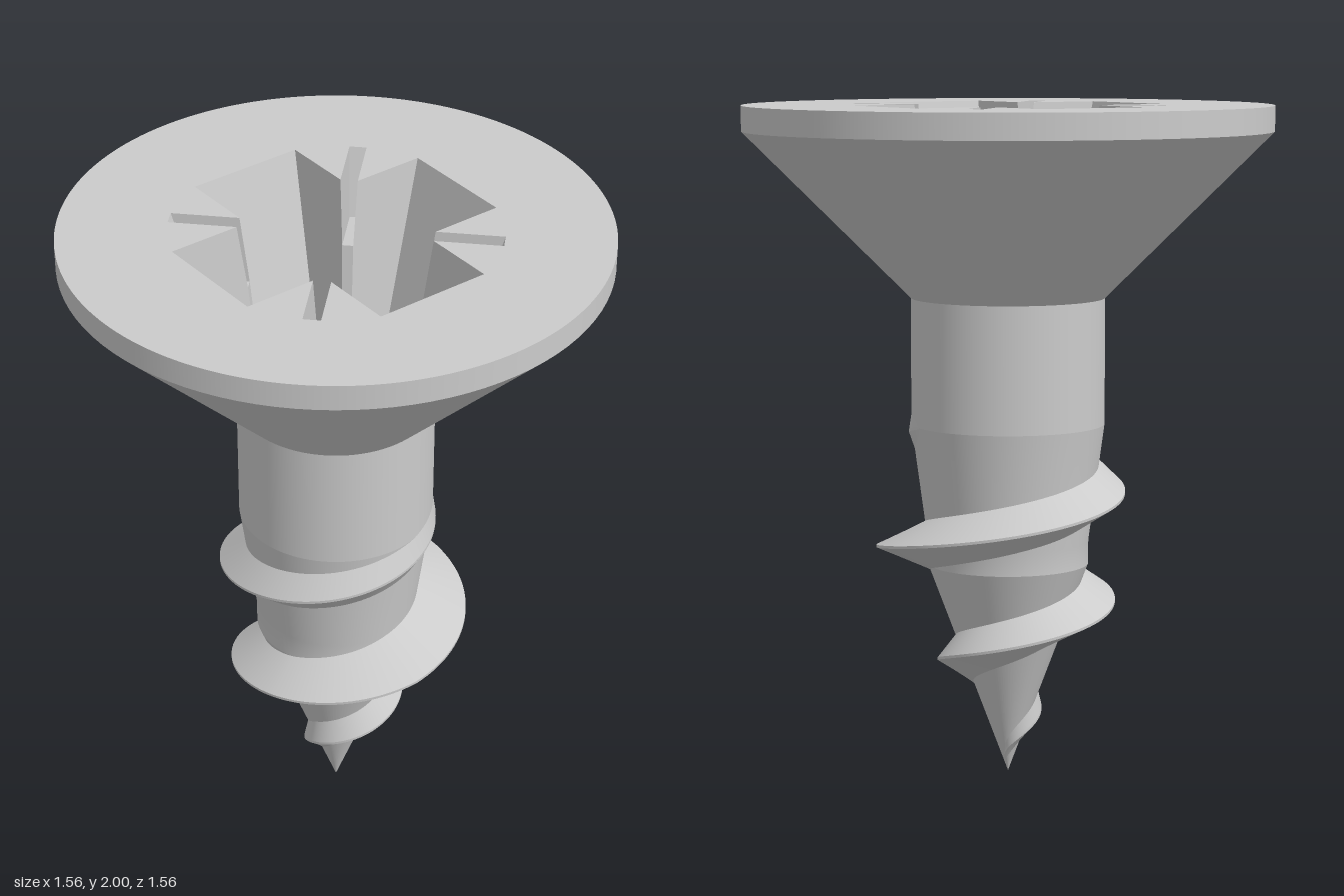
import * as THREE from 'three';

const grey = new THREE.MeshStandardMaterial({ color: 0xcccccc });
const greyDouble = new THREE.MeshStandardMaterial({ color: 0xcccccc, side: THREE.DoubleSide });

function addMesh(group, name, geometry, material = grey) {
  const mesh = new THREE.Mesh(geometry, material);
  mesh.name = name;
  group.add(mesh);
}

// One smooth band of revolution, listed from bottom to top
function band(...points) {
  return new THREE.LatheGeometry(points.map(([r, y]) => new THREE.Vector2(r, y)), 96);
}

// Surface through equal-length rows of points
function loft(rows, flat) {
  const cols = rows[0].length, index = [];
  for (let i = 0; i < rows.length - 1; i++) {
    for (let j = 0; j < cols - 1; j++) {
      const a = i * cols + j, b = a + cols;
      index.push(a, b, a + 1, b, b + 1, a + 1);
    }
  }
  let geometry = new THREE.BufferGeometry();
  geometry.setAttribute('position', new THREE.Float32BufferAttribute(rows.flat(2), 3));
  geometry.setIndex(index);
  if (flat) geometry = geometry.toNonIndexed();
  geometry.computeVertexNormals();
  return geometry;
}

// Upward-facing flat shape at height y
function flatFace(shape, y) {
  return new THREE.ShapeGeometry(shape, 96).rotateX(-Math.PI / 2).translate(0, y, 0);
}

const toShape = points => new THREE.Shape(points.map(([x, y]) => new THREE.Vector2(x, y)));

// Recess heights: rim, slit floor, arm floor
const TOP = 2, SLIT = 1.8, FLOOR = 1.5;

// Diagonal slit of half width s, reaching out to radius r, from the inner corner of the cross
function slitPoints(w, s, r) {
  const d = w * Math.SQRT2 + s;
  return [[d, -s], [r, -s], [r, s], [d, s]].map(([along, across]) =>
    [(along - across) * Math.SQRT1_2, (along + across) * Math.SQRT1_2]);
}

function rotate([x, y], q) {
  const c = [1, 0, -1, 0][q], s = [0, 1, 0, -1][q];
  return [x * c - y * s, x * s + y * c];
}

// Cross outline at height y; the slits are left out below their floor
function recessOutline(y, s, r) {
  const t = (TOP - y) / (TOP - FLOOR);
  const w = 0.177 - 0.032 * t, l = 0.43 - 0.13 * t;
  const slit = slitPoints(w, s, r ?? 1);
  const corner = r ? slit : [slit[0], slit[3]];
  const quarter = [[l, -w], [l, w], ...corner];
  return [0, 1, 2, 3].flatMap(q => quarter.map(p => rotate(p, q)));
}

function ring(outline, y) {
  return [...outline, outline[0]].map(([x, z]) => [x, y, z]);
}

function buildRecess(group) {
  const rim = recessOutline(TOP, 0.025, 0.47);
  const mid = recessOutline(SLIT, 0.016, 0.41);
  const face = new THREE.Shape().absarc(0, 0, 0.78, 0, Math.PI * 2);
  face.holes.push(new THREE.Path(rim.map(([x, y]) => new THREE.Vector2(x, y))));
  addMesh(group, 'headFace', flatFace(face, TOP));

  addMesh(group, 'upperRecessWalls', loft([ring(rim, TOP), ring(mid, SLIT)], true), greyDouble);
  addMesh(group, 'lowerRecessWalls', loft([
    ring(recessOutline(SLIT, 0.016), SLIT),
    ring(recessOutline(FLOOR, 0.014), FLOOR),
  ], true), greyDouble);

  // Floors of the four arms and four slits
  const a = Math.asin(0.145 / 0.255);
  const arm = new THREE.Shape().moveTo(0.3, -0.145).lineTo(0.3, 0.145);
  arm.lineTo(0.255 * Math.cos(a), 0.145).absarc(0, 0, 0.255, a, -a, true);
  const slit = toShape(slitPoints(0.177 - 0.032 * 0.4, 0.016, 0.41));
  for (let q = 0; q < 4; q++) {
    addMesh(group, 'armFloor', flatFace(arm, FLOOR).rotateY(q * Math.PI / 2));
    addMesh(group, 'slitFloor', flatFace(slit, SLIT).rotateY(q * Math.PI / 2));
  }
  addMesh(group, 'recessCone', band([0.255, FLOOR], [0, FLOOR - 0.1]));
}

// Radius of the core at height y
function coreRadius(y) {
  if (y < 0.64) return Math.max(0, 0.24 * y / 0.64);
  if (y < 0.71) return 0.24;
  return Math.min(0.287, 0.24 + 0.047 * (y - 0.71) / 0.35);
}

// Helical thread with a V section; n counts quarter turns from the tip
function buildThread(group) {
  const lower = [], upper = [];
  const start = -0.8, end = 11.2, steps = 360;
  for (let i = 0; i <= steps; i++) {
    const n = start + (end - start) * i / steps;
    const t = n * Math.PI / 2, y = 0.115 + 0.0868 * n;
    const grow = 0.06 + 0.0562 * n;
    const fade = n < 7 ? 0.397 - 0.005 * Math.max(0, n - 6) : 0.392 - 0.027 * (n - 7);
    const crest = Math.max(0.01, Math.min(grow, fade));
    const half = Math.min(0.075, 0.035 + 0.02 * (n - start));
    const at = (r, h) => [-Math.sin(t) * r, h, -Math.cos(t) * r];
    const root = h => at(Math.max(0, coreRadius(h) - 0.004), h);
    lower.push([root(Math.max(0.01, y - half)), at(crest, y - 0.004)]);
    upper.push([at(crest, y + 0.004), root(y + half)]);
  }
  const edge = lower.map((row, i) => [row[1], upper[i][0]]);
  addMesh(group, 'threadLowerFlank', loft(lower), greyDouble);
  addMesh(group, 'threadCrest', loft(edge), greyDouble);
  addMesh(group, 'threadUpperFlank', loft(upper), greyDouble);
}

export function createModel() {
  const model = new THREE.Group();
  model.name = 'countersunkScrew';

  const head = new THREE.Group();
  head.name = 'head';
  addMesh(head, 'headRim', band([0.78, 1.925], [0.78, TOP]));
  addMesh(head, 'countersink', band([0.287, 1.435], [0.78, 1.925]));
  buildRecess(head);

  const shank = new THREE.Group();
  shank.name = 'shank';
  addMesh(shank, 'plainShank', band([0.287, 1.06], [0.287, 1.435]));
  addMesh(shank, 'taperedCore', band([0.24, 0.64], [0.24, 0.71], [0.287, 1.06]));
  addMesh(shank, 'pointedTip', band([0, 0], [0.24, 0.64]));

  const thread = new THREE.Group();
  thread.name = 'thread';
  buildThread(thread);

  model.add(head, shank, thread);
  return model;
}
